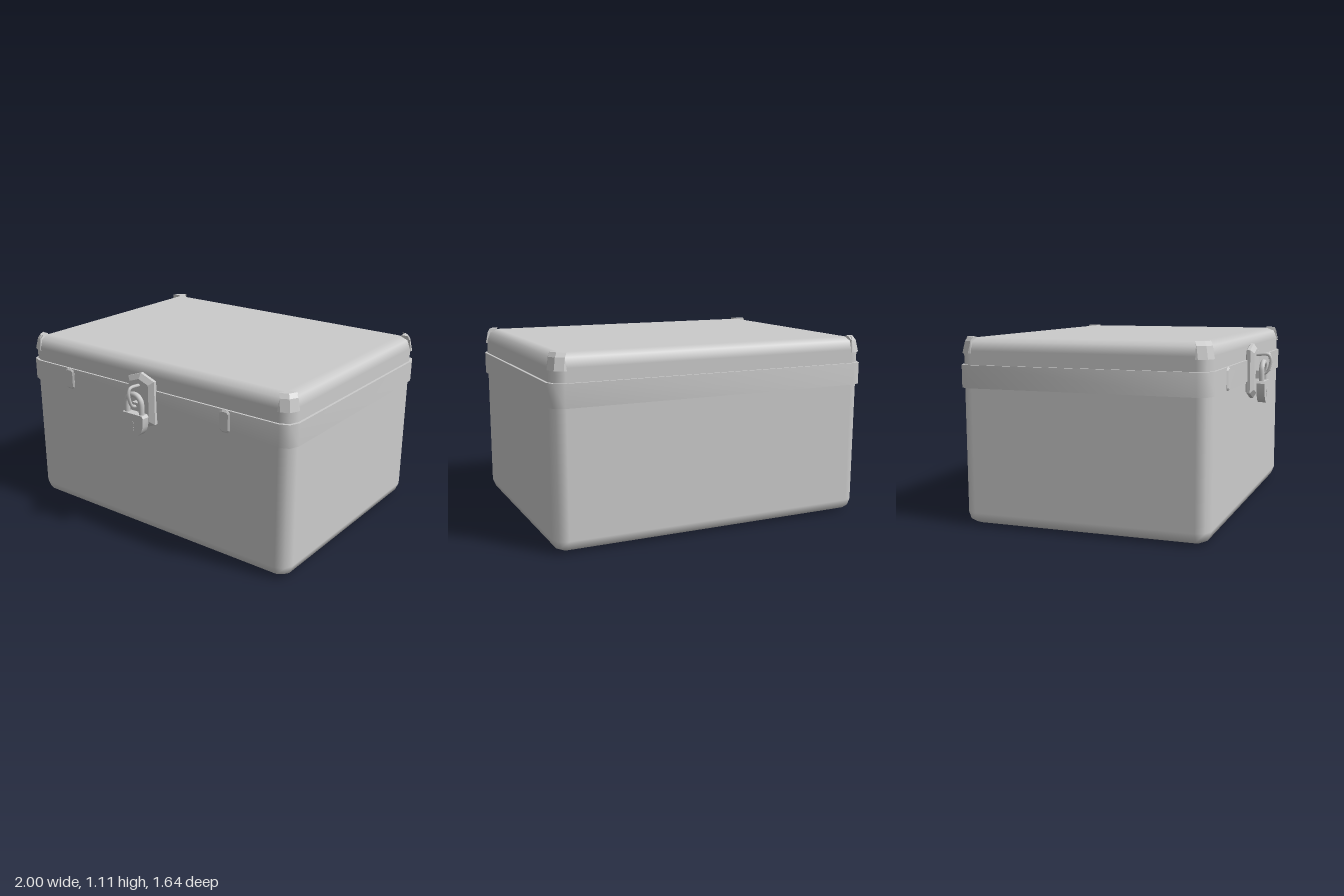
import * as THREE from 'three';
import { RoundedBoxGeometry } from 'three/addons/geometries/RoundedBoxGeometry.js';
import { toCreasedNormals } from 'three/addons/utils/BufferGeometryUtils.js';

const grey = new THREE.MeshStandardMaterial({ color: 0xcccccc });
const flat = new THREE.MeshStandardMaterial({ color: 0xcccccc, flatShading: true });
const ZC = -0.066; // the box sits slightly back to leave room for the padlock
const LX = -0.025; // lock centre line

const polygon = (pts) => new THREE.Shape(pts.map(([x, y]) => new THREE.Vector2(x, y)));

function add(parent, name, geometry, material = grey, x = 0, y = 0, z = 0) {
  const mesh = new THREE.Mesh(geometry, material);
  mesh.name = name;
  mesh.position.set(x, y, z);
  parent.add(mesh);
  return mesh;
}

// Rectangle with two-facet rounded corners
function roundedPlan(hx, hy, r) {
  const pts = [];
  [[1, 1], [-1, 1], [-1, -1], [1, -1]].forEach(([sx, sy], q) => {
    for (let i = 0; i <= 2; i++) {
      const a = q * Math.PI / 2 + i * Math.PI / 4;
      pts.push([sx * (hx - r) + r * Math.cos(a), sy * (hy - r) + r * Math.sin(a)]);
    }
  });
  return polygon(pts);
}

// Closed loft through horizontal cross-sections, listed from bottom to top
function loft(sections) {
  const n = sections[0].length, pos = [], idx = [];
  sections.forEach((s) => s.forEach((p) => pos.push(...p)));
  for (let k = 0; k < sections.length - 1; k++) {
    for (let i = 0; i < n; i++) {
      const a = k * n + i, b = k * n + (i + 1) % n;
      idx.push(a, a + n, b, b, a + n, b + n);
    }
  }
  const top = (sections.length - 1) * n;
  for (let i = 1; i < n - 1; i++) idx.push(0, i, i + 1, top, top + i + 1, top + i);
  const g = new THREE.BufferGeometry();
  g.setAttribute('position', new THREE.Float32BufferAttribute(pos, 3));
  g.setIndex(idx);
  g.computeVertexNormals();
  return g;
}

// Tapered cap that wraps one lid corner
function cornerCap(sx, sz) {
  const ring = (y, inset, inner) => {
    const o = 0.992 - inset, d = 0.75 - inset;
    const pts = [[inner, d - 0.085 + inset], [o, d - 0.085 + inset], [o, d - 0.07],
      [o - 0.022, d - 0.022], [o - 0.07, d], [inner, d]];
    const out = pts.map(([x, z]) => [sx * x, y, ZC + sz * z]);
    return sx * sz < 0 ? out.reverse() : out;
  };
  return loft([ring(1.01, 0, 0.905), ring(1.08, 0.012, 0.912), ring(1.105, 0.025, 0.918)]);
}

function padlock() {
  const lock = new THREE.Group();
  lock.name = 'padlock';
  lock.position.set(LX, 0, 0.768);

  // Shield-shaped body
  const s = new THREE.Shape();
  s.moveTo(-0.075, 0.815);
  s.lineTo(0.075, 0.815);
  s.lineTo(0.085, 0.8);
  s.lineTo(0.08, 0.745);
  s.quadraticCurveTo(0.06, 0.675, 0, 0.675);
  s.quadraticCurveTo(-0.06, 0.675, -0.08, 0.745);
  s.lineTo(-0.085, 0.8);
  s.closePath();
  const body = new THREE.ExtrudeGeometry(s, { depth: 0.05, bevelEnabled: false, curveSegments: 5 });
  add(lock, 'lockBody', toCreasedNormals(body, 0.6), grey, 0, 0, -0.025);

  // Keyhole escutcheon
  const key = polygon([[-0.012, 0.715], [0.012, 0.715], [0.007, 0.74], [0.013, 0.752],
    [0.008, 0.767], [-0.008, 0.767], [-0.013, 0.752], [-0.007, 0.74]]);
  add(lock, 'keyhole', new THREE.ExtrudeGeometry(key, { depth: 0.003, bevelEnabled: false }), flat, 0, 0, 0.024);

  // Shackle: two legs and a half-circle
  const pts = [new THREE.Vector3(0.055, 0.8, 0)];
  for (let i = 0; i <= 8; i++) {
    const a = i * Math.PI / 8;
    pts.push(new THREE.Vector3(0.055 * Math.cos(a), 0.873 + 0.055 * Math.sin(a), 0));
  }
  pts.push(new THREE.Vector3(-0.055, 0.8, 0));
  const path = new THREE.CatmullRomCurve3(pts);
  add(lock, 'shackle', new THREE.TubeGeometry(path, 24, 0.017, 8));
  return lock;
}

export function createModel() {
  const chest = new THREE.Group();
  chest.name = 'lockbox';

  // Box and lid; their meeting edges are hidden behind the band
  add(chest, 'boxBody', new RoundedBoxGeometry(1.97, 0.945, 1.485, 1, 0.075), grey, 0, 0.4725, ZC);
  add(chest, 'lid', new RoundedBoxGeometry(1.97, 0.29, 1.485, 1, 0.075), grey, 0, 0.955, ZC);

  // Band around the seam
  const band = new THREE.ExtrudeGeometry(roundedPlan(1, 0.755, 0.08), { depth: 0.133, bevelEnabled: false });
  band.rotateX(-Math.PI / 2);
  add(chest, 'rimBand', toCreasedNormals(band, 0.9), grey, 0, 0.812, ZC);

  for (const sx of [-1, 1]) {
    for (const sz of [-1, 1]) add(chest, 'cornerCap', cornerCap(sx, sz), flat);
  }

  // Small clips on the front of the band
  const clip = polygon([[-0.037, -0.052], [-0.018, -0.066], [0.018, -0.066], [0.037, -0.052],
    [0.037, 0.052], [0.018, 0.066], [-0.018, 0.066], [-0.037, 0.052]]);
  for (const side of [-1, 1]) {
    const g = new THREE.ExtrudeGeometry(clip, {
      depth: 0.006, bevelThickness: 0.008, bevelSize: 0.01, bevelOffset: -0.01, bevelSegments: 1,
    });
    add(chest, 'frontClip', g, flat, LX - 0.008 + side * 0.603, 0.878, 0.684);
  }

  // Hasp plate with sloping sides
  const plate = polygon([[-0.1, 0.74], [0, 0.7], [0.1, 0.74], [0.1, 1.005], [0, 1.042], [-0.1, 1.005]]);
  const hasp = new THREE.ExtrudeGeometry(plate, {
    depth: 0.02, bevelThickness: 0.02, bevelSize: 0.03, bevelOffset: -0.03, bevelSegments: 1,
  });
  add(chest, 'haspPlate', hasp, flat, LX, 0, 0.685);

  // Staple block and the curved hook that passes through the shackle
  add(chest, 'stapleBlock', new THREE.BoxGeometry(0.05, 0.05, 0.05), flat, LX, 0.85, 0.735);
  const hookPath = new THREE.CatmullRomCurve3(
    [[0.72, 0.972], [0.8, 0.972], [0.813, 0.945], [0.807, 0.9], [0.787, 0.862], [0.72, 0.845]]
      .map(([z, y]) => new THREE.Vector3(0, y, z)));
  add(chest, 'hook', new THREE.TubeGeometry(hookPath, 20, 0.01, 6), grey, LX);

  chest.add(padlock());
  return chest;
}
